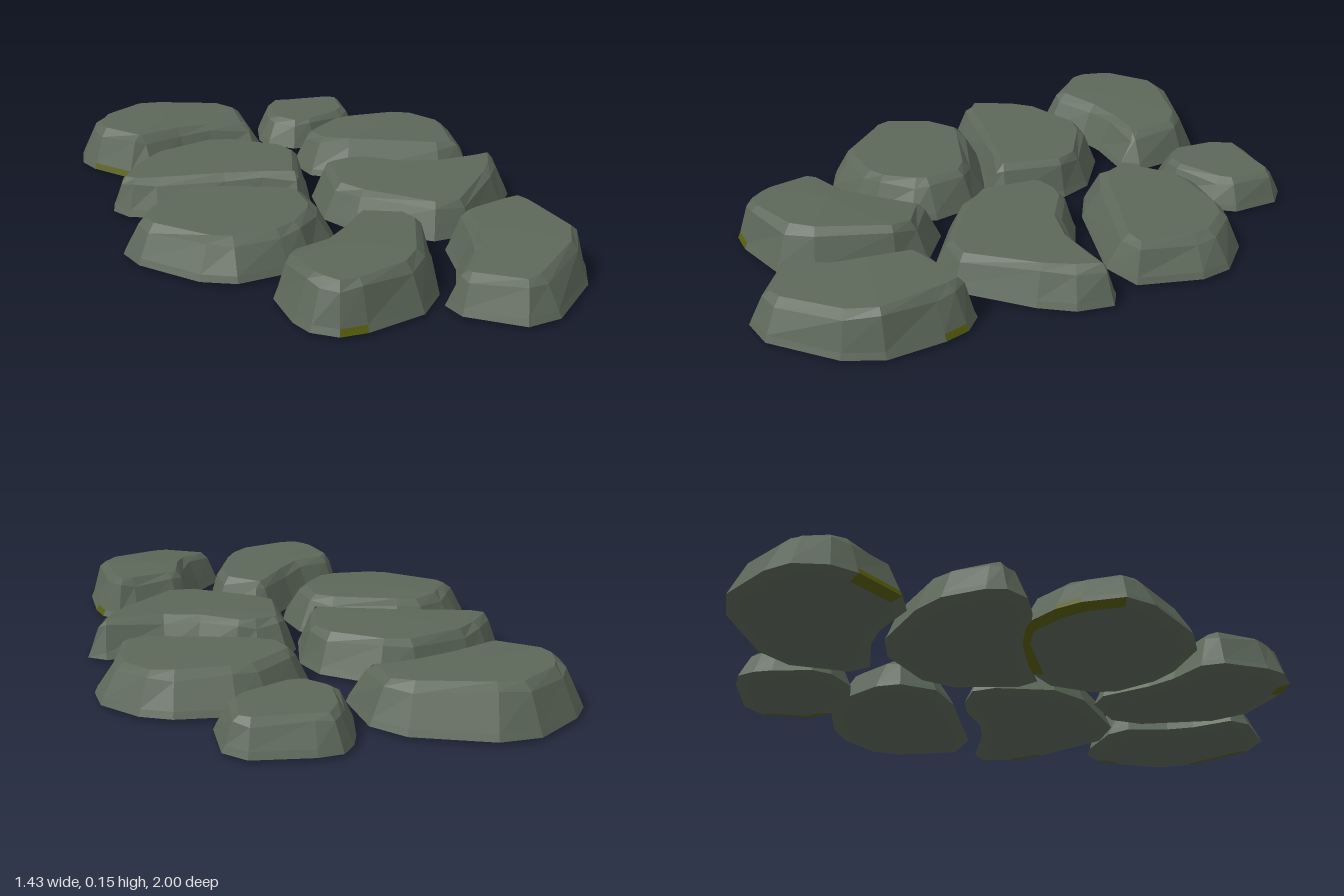
import * as THREE from 'three';

const stoneMaterial = new THREE.MeshStandardMaterial({ color: 0x5c6759 });
stoneMaterial.name = 'grey green stone';
stoneMaterial.flatShading = true;
const mossMaterial = new THREE.MeshStandardMaterial({ color: 0x565c0c });
mossMaterial.name = 'olive moss';
mossMaterial.flatShading = true;

// Corners run clockwise from above as x, z in hundredths; each corner is cut into a small facet
function cutCorners(corners) {
  const points = [];
  for (let i = 0; i < corners.length; i += 2) {
    points.push(new THREE.Vector2(corners[i], corners[i + 1]).multiplyScalar(0.01));
  }
  return points.flatMap((p, i) => [
    p.clone().lerp(points.at(i - 1), 0.2),
    p.clone().lerp(points[(i + 1) % points.length], 0.2),
  ]);
}

// One bevelled stone: the top is level up to its centre, then falls away along the tilt.
// Moss grows on the listed sides, either up the foot of the wall or under the rim.
function makeStone(name, height, bevelWidth, [tiltX, tiltZ], corners, wallMoss = [], rimMoss = []) {
  const foot = cutCorners(corners);
  const n = foot.length;
  const centre = foot.reduce((sum, p) => sum.add(p), new THREE.Vector2()).divideScalar(n);
  const topY = (x, z) => height - Math.max(0, tiltX * (x - centre.x) + tiltZ * (z - centre.y));

  // Ring moved inward from the footprint along the local normal
  const ring = (inset, yAt) => foot.map((p, i) => {
    const along = foot[(i + 1) % n].clone().sub(foot.at(i - 1)).normalize();
    const x = p.x - along.y * inset(i), z = p.y + along.x * inset(i);
    return new THREE.Vector3(x, yAt(x, z, i), z);
  });
  const bevel = (i) => bevelWidth + 0.01 * Math.sin(i * 1.7);
  const rings = [
    ring(() => 0.04, () => 0),
    ring(() => 0, () => 0.01),
    ring(() => 0.009, () => 0.03),
    ring((i) => bevel(i) * 0.65, (x, z, i) => topY(x, z) * (0.84 + 0.05 * Math.sin(i * 2.3))),
    ring(bevel, topY),
  ];
  const bottom = rings[0], top = rings[4];
  const bottomCentre = new THREE.Vector3(centre.x, 0, centre.y);
  const topCentre = new THREE.Vector3(centre.x, height, centre.y);

  const stone = [], moss = [];
  const mossSides = [rimMoss, wallMoss, [], []];
  for (let i = 0; i < n; i++) {
    const j = (i + 1) % n;
    // Rim, foot, wall and bevel bands
    for (let r = 0; r < 4; r++) {
      const low = rings[r], high = rings[r + 1];
      const target = mossSides[r].includes(i) ? moss : stone;
      target.push(low[j], low[i], high[i], low[j], high[i], high[j]);
    }
    // Underside and top
    stone.push(bottomCentre, bottom[i], bottom[j], topCentre, top[j], top[i]);
  }

  const geometry = new THREE.BufferGeometry().setFromPoints([...stone, ...moss]);
  geometry.addGroup(0, stone.length, 0);
  geometry.addGroup(stone.length, moss.length, 1);
  geometry.computeVertexNormals();
  const mesh = new THREE.Mesh(geometry, [stoneMaterial, mossMaterial]);
  mesh.name = name;
  return mesh;
}

export function createModel() {
  const group = new THREE.Group();
  group.name = 'steppingStones';
  // Back pair
  group.add(makeStone('backRightStone', 0.15, 0.08, [0.05, 0.1],
    [-28, -103, 7, -82, 4, -50, -22, -56, -47, -49, -61, -73, -56, -90], [9], [9]));
  group.add(makeStone('backLeftStone', 0.108, 0.06, [0, 0],
    [22, -91, 51, -82, 46, -56, 18, -51, 6, -64, 14, -84], [], [3, 4]));
  // Inner back pair
  group.add(makeStone('innerBackRightStone', 0.135, 0.06, [-0.04, 0.04],
    [-15, -53, 7, -28, -6, 5, -24, -7, -60, -18, -65, -30, -50, -47]));
  group.add(makeStone('innerBackLeftStone', 0.132, 0.08, [0.03, 0.03],
    [32, -57, 61, -49, 74, -28, 58, 3, 9, -22, 8, -43]));
  // Inner front pair
  group.add(makeStone('innerFrontRightStone', 0.132, 0.08, [-0.03, 0.03],
    [-41, -18, -8, 3, -8, 28, -27, 41, -54, 40, -74, 9, -62, -9], [12], [11, 12, 13, 0, 1]));
  group.add(makeStone('innerFrontLeftStone', 0.13, 0.065, [0, 0.04],
    [2, -15, 19, -14, 36, 0, 67, 6, 60, 24, 24, 48, -7, 17], [], [8]));
  // Front pair
  group.add(makeStone('frontRightStone', 0.15, 0.065, [0, -0.1],
    [-2, 24, 15, 43, -4, 80, -35, 83, -45, 73, -43, 48, -23, 42], [6], [6]));
  group.add(makeStone('frontLeftStone', 0.147, 0.065, [-0.05, 0.08],
    [19, 44, 45, 43, 52, 53, 48, 83, 15, 104, -6, 82, 11, 66], [4], [4, 7]));
  return group;
}
